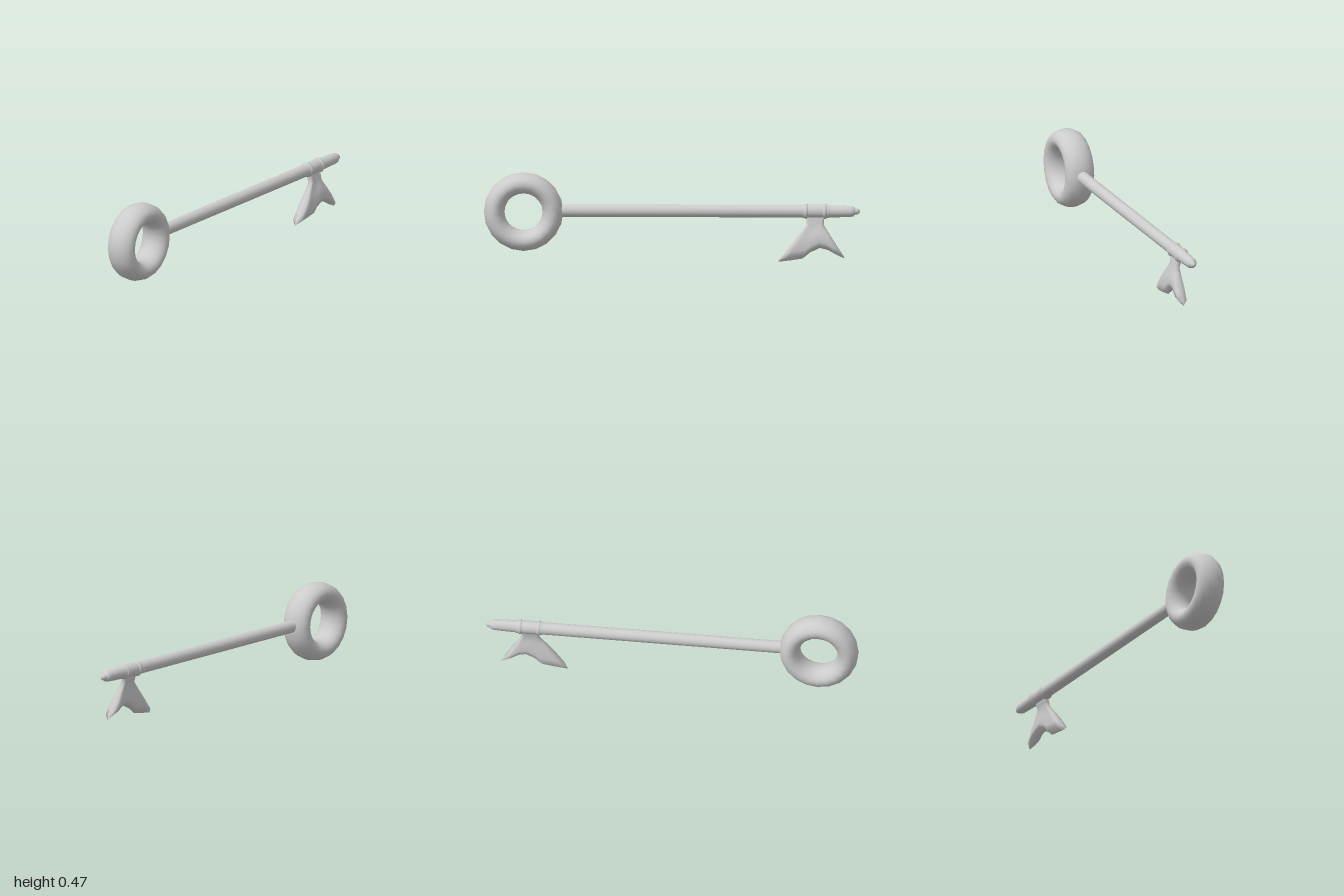
import * as THREE from 'three';

const AXIS_Y = 0.272;

export function createModel() {
  const group = new THREE.Group();
  const material = new THREE.MeshStandardMaterial({ color: 0xcccccc });
  const add = (name, geometry) => {
    const mesh = new THREE.Mesh(geometry, material);
    mesh.name = name;
    group.add(mesh);
    return mesh;
  };
  // Solid of revolution along +x from [x, radius] pairs
  const turned = (name, profile) => {
    const points = profile.map(([x, r]) => new THREE.Vector2(r, x));
    const mesh = add(name, new THREE.LatheGeometry(points, 24));
    mesh.rotation.z = -Math.PI / 2;
    mesh.position.y = AXIS_Y;
    return mesh;
  };

  // Ring handle: torus with a tube deeper than it is wide
  const bow = add('ringHandle', new THREE.TorusGeometry(0.156, 0.055, 20, 20));
  bow.scale.z = 0.08 / 0.055;
  bow.position.set(-0.789, 0.266, 0);

  // Shaft
  turned('shaft', [[-0.6, 0], [-0.6, 0.033], [-0.6, 0.033], [0.7, 0.033]]);

  // Sleeve carrying the bit, between two raised collars
  turned('sleeve', [[0.69, 0.033], [0.7, 0.036], [0.83, 0.036], [0.84, 0.031]]);
  for (const x of [0.713, 0.813]) {
    turned('collar', [[x - 0.012, 0.034], [x - 0.007, 0.039], [x, 0.041], [x + 0.007, 0.039], [x + 0.012, 0.034]]);
  }

  // Tapered nose ending in a small round tip
  turned('nose', [[0.82, 0.033], [0.9, 0.031], [0.95, 0.029], [0.966, 0.026], [0.973, 0.018],
    [0.975, 0.017], [0.985, 0.0165], [0.993, 0.012], [0.998, 0.006], [1, 0]]);

  add('fishtailBit', bitGeometry());
  return group;
}

// Forked bit: a narrow neck fanning out to a wavy lower edge
function bitGeometry() {
  const lower = [[0.565, 0.004], [0.6, 0.008], [0.64, 0.013], [0.695, 0.022], [0.73, 0.052], [0.785, 0.08],
    [0.83, 0.068], [0.875, 0.042], [0.915, 0.024]];
  const flute = [0.82, 1, 0.9, 1, 0.88, 0.95, 0.88, 1, 0.82];
  // Rows: fan amount, centre z, half thickness
  const rows = [[-0.35, 0.004, 0.014], [-0.15, 0.012, 0.013], [0, 0.018, 0.012], [0.15, 0.021, 0.016],
    [0.32, 0.025, 0.021], [0.5, 0.027, 0.027], [0.7, 0.028, 0.028], [0.87, 0.028, 0.028], [1, 0.028, 0.001]];
  const last = lower.length - 1;
  const positions = [], index = [];

  for (const [v, cz, half] of rows) {
    const fan = Math.max(v, 0);
    const point = (i, side, out = 0) => {
      const topX = 0.718 + (0.086 * i) / last;
      const x = THREE.MathUtils.lerp(topX, lower[i][0], fan);
      const y = v < 0 ? 0.2 - v * 0.16 : THREE.MathUtils.lerp(0.2, lower[i][1], v);
      positions.push(x + out, y, cz + side * half * THREE.MathUtils.lerp(1, flute[i], fan));
    };
    // Front face, right edge, back face, left edge
    for (let i = 0; i <= last; i++) point(i, 1);
    point(last, 0, 0.004);
    for (let i = last; i >= 0; i--) point(i, -1);
    point(0, 0, -0.004);
  }

  const n = 2 * (last + 1) + 2;
  for (let r = 0; r < rows.length - 1; r++) {
    for (let i = 0; i < n; i++) {
      const a = r * n + i, b = r * n + ((i + 1) % n), c = a + n, d = b + n;
      index.push(a, c, b, b, c, d);
    }
  }
  // Close the thin lower edge and the hidden top
  const base = (rows.length - 1) * n;
  for (let i = 1; i < n - 1; i++) {
    index.push(0, i, i + 1);
  }
  for (let i = 0; i < last; i++) {
    const a = base + i, b = a + 1, c = base + n - 2 - i, d = c - 1;
    index.push(a, c, b, b, c, d);
  }
  const geometry = new THREE.BufferGeometry();
  geometry.setAttribute('position', new THREE.Float32BufferAttribute(positions, 3));
  geometry.setIndex(index);
  geometry.computeVertexNormals();
  return geometry;
}
